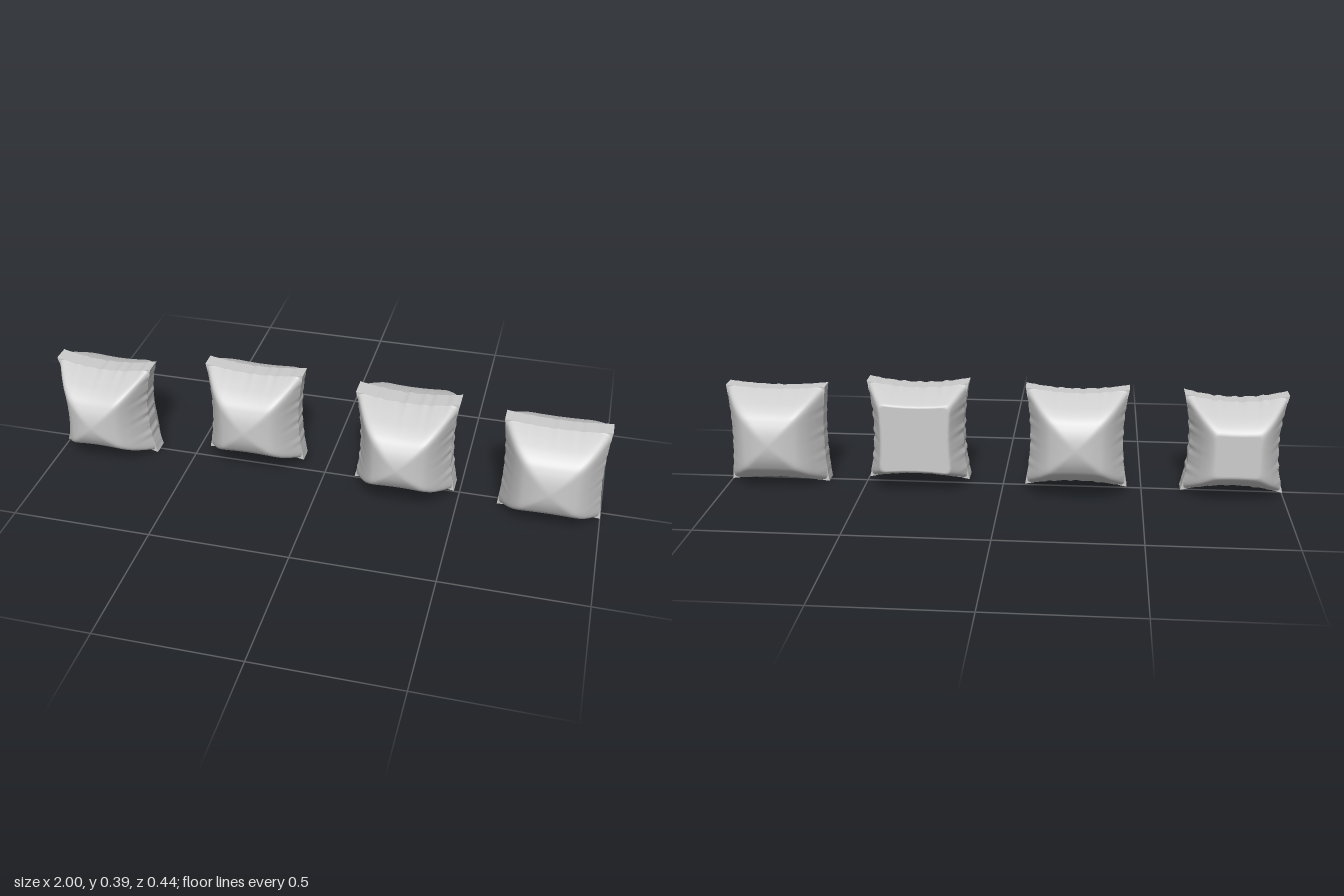
import * as THREE from 'three';
import { mergeVertices } from 'three/addons/utils/BufferGeometryUtils.js';

// Half thickness of the cushion from its middle (0) to its seam (1)
const PROFILE = [[0, 1], [0.15, 0.985], [0.3, 0.95], [0.45, 0.89], [0.6, 0.8],
  [0.75, 0.63], [0.87, 0.43], [0.95, 0.27], [1, 0.16]];

function thickness(m) {
  let i = 1;
  while (i < PROFILE.length - 1 && m > PROFILE[i][0]) i++;
  // Catmull-Rom between neighbouring profile points keeps the bulge smooth
  const at = (j) => PROFILE[Math.min(Math.max(j, 0), PROFILE.length - 1)];
  const p0 = i === 1 ? [-0.15, 0.985] : at(i - 2), p1 = at(i - 1), p2 = at(i), p3 = at(i + 1);
  const d = p2[0] - p1[0], k = (m - p1[0]) / d;
  const s1 = d * (p2[1] - p0[1]) / (p2[0] - p0[0]);
  const s2 = d * (p3[1] - p1[1]) / (p3[0] - p1[0]);
  const k2 = k * k, k3 = k2 * k;
  return (2 * k3 - 3 * k2 + 1) * p1[1] + (k3 - 2 * k2 + k) * s1
    + (3 * k2 - 2 * k3) * p2[1] + (k3 - k2) * s2;
}

// Inflated square: four curved facets per side meeting on diagonal ridges
function pillowGeometry({ half, depth, pinch, fold, flatBack }) {
  const box = new THREE.BoxGeometry(2, 2, 2, 72, 72, 2);
  box.deleteAttribute('uv');
  box.deleteAttribute('normal');
  const geo = mergeVertices(box, 1e-4);
  const pos = geo.attributes.position;
  const spread = (a) => Math.sin(a * Math.PI / 2);
  // Small gathers running in from the seam
  const gather = (a, edge) => fold * (1 - a * a) * Math.pow(Math.abs(edge), 8)
    * (Math.sin(a * 23 + edge) + 0.6 * Math.sin(a * 37 + 2 * edge));
  for (let i = 0; i < pos.count; i++) {
    const u = spread(pos.getX(i)), v = spread(pos.getY(i)), side = pos.getZ(i);
    const m = Math.min(1, Math.pow(Math.abs(u) ** 12 + Math.abs(v) ** 12, 1 / 12));
    let z = side * depth * thickness(m);
    if (flatBack) z = Math.max(z, -flatBack);
    const x = u * (half - pinch * (1 - v * v) + gather(v, u));
    const y = v * (half - pinch * (1 - u * u) + gather(u, v));
    pos.setXYZ(i, x, y, z);
  }
  geo.computeVertexNormals();
  return geo;
}

export function createModel() {
  const group = new THREE.Group();
  group.name = 'pillowRow';
  const fabric = new THREE.MeshStandardMaterial({ color: 0xcccccc });
  fabric.name = 'light grey fabric';

  // Four cushions in a row; two of them are pressed flat at the back
  const pillows = [
    { name: 'rightOuterPillow', at: [-0.82, 0.19, 0.005], half: 0.181, depth: 0.194, pinch: 0.025, fold: 0.002, flatBack: 0.168 },
    { name: 'rightInnerPillow', at: [-0.265, 0.215, -0.044], half: 0.181, depth: 0.179, pinch: 0.018, fold: 0.0015 },
    { name: 'leftInnerPillow', at: [0.302, 0.212, 0], half: 0.182, depth: 0.219, pinch: 0.02, fold: 0.002, flatBack: 0.14 },
    { name: 'leftOuterPillow', at: [0.82, 0.183, 0.006], half: 0.181, depth: 0.182, pinch: 0.012, fold: 0.001 },
  ];
  for (const p of pillows) {
    const mesh = new THREE.Mesh(pillowGeometry(p), fabric);
    mesh.name = p.name;
    mesh.position.set(...p.at);
    group.add(mesh);
  }
  return group;
}
